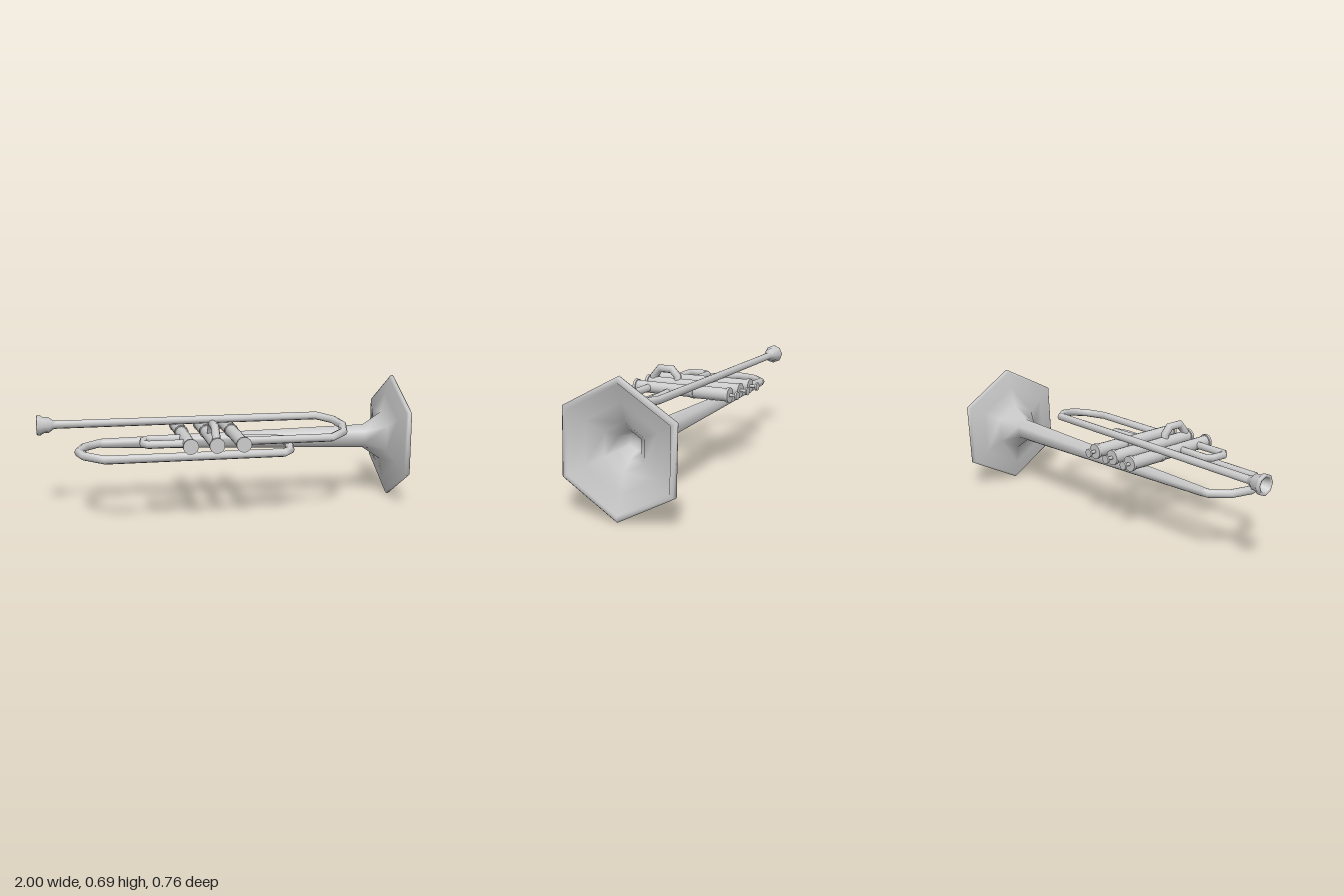
import * as THREE from 'three';

const metal = new THREE.MeshStandardMaterial({ color: 0xcccccc });

function add(parent, name, geometry) {
  const mesh = new THREE.Mesh(geometry, metal);
  mesh.name = name;
  parent.add(mesh);
  return mesh;
}

// Mitred round tube along a polyline; up is any axis the path never follows
function pipe(points, radius, up = new THREE.Vector3(0, 1, 0), sides = 8) {
  const p = points.map((q) => new THREE.Vector3(...q));
  const positions = [], index = [];
  p.forEach((point, i) => {
    const before = p[i].clone().sub(p[Math.max(i - 1, 0)]).normalize();
    const after = p[Math.min(i + 1, p.length - 1)].clone().sub(p[i]).normalize();
    const t = before.clone().add(after).normalize();
    const miter = 1 / Math.max(t.dot(i ? before : after), 0.7);
    const side = t.clone().cross(up).normalize();
    const top = side.clone().cross(t);
    for (let k = 0; k < sides; k++) {
      const a = (k / sides) * Math.PI * 2;
      const v = point.clone()
        .addScaledVector(side, Math.cos(a) * radius * miter)
        .addScaledVector(top, Math.sin(a) * radius);
      positions.push(v.x, v.y, v.z);
      if (i === 0) continue;
      const b = i * sides + k, c = i * sides + ((k + 1) % sides);
      index.push(b - sides, b, c - sides, b, c, c - sides);
    }
  });
  const g = new THREE.BufferGeometry();
  g.setAttribute('position', new THREE.Float32BufferAttribute(positions, 3));
  g.setIndex(index);
  g.computeVertexNormals();
  return g;
}

// Turned part from [radius, distance] pairs
function turned(profile, sides, phase = 0) {
  return new THREE.LatheGeometry(profile.map(([r, d]) => new THREE.Vector2(r, d)), sides, phase);
}

export function createModel() {
  const model = new THREE.Group();
  model.name = 'trumpet';

  // Six-sided bell: long taper, flare, rolled rim, then back inside to the throat
  const bell = add(model, 'bell', turned([
    [0.026, -1.66], [0.066, -0.18], [0.135, -0.075], [0.24, -0.05], [0.33, -0.032],
    [0.344, -0.022], [0.344, -0.01], [0.335, -0.002], [0.315, 0],
    [0.31, -0.008], [0.22, -0.035], [0.12, -0.068], [0.07, -0.12], [0.048, -0.19], [0, -0.19],
  ], 6, Math.PI / 2 - 0.035).rotateZ(-Math.PI / 2 - 0.01));
  bell.position.set(1, 0.347, -0.078);

  // Lead pipe and front tuning bow, returning to the third valve
  add(model, 'leadPipe', pipe([
    [-0.94, 0.485, -0.035], [0.53, 0.485, -0.035], [0.605, 0.475, 0.045], [0.632, 0.46, 0.13],
    [0.61, 0.443, 0.22], [0.525, 0.43, 0.29], [0.04, 0.43, 0.29],
  ], 0.022));

  // Rear bow, running forward to a small bow that enters the third valve
  add(model, 'bellBow', pipe([
    [-0.62, 0.364, -0.08], [-0.68, 0.364, -0.075], [-0.755, 0.364, 0.0], [-0.786, 0.364, 0.11],
    [-0.76, 0.363, 0.2], [-0.66, 0.36, 0.29], [0.27, 0.36, 0.292], [0.305, 0.369, 0.27],
    [0.315, 0.39, 0.205], [0.285, 0.405, 0.168], [0.04, 0.415, 0.165],
  ], 0.023));

  // First valve slide
  add(model, 'firstSlide', pipe([
    [-0.235, 0.43, 0.165], [-0.43, 0.43, 0.165], [-0.455, 0.43, 0.19],
    [-0.462, 0.43, 0.265], [-0.44, 0.43, 0.29], [-0.235, 0.43, 0.29],
  ], 0.021));

  // Second valve slide, arching over the valve
  add(model, 'secondSlide', pipe([
    [-0.1, 0.43, 0.19], [-0.1, 0.475, 0.19], [-0.1, 0.512, 0.225],
    [-0.1, 0.512, 0.302], [-0.1, 0.465, 0.342], [-0.1, 0.43, 0.342],
  ], 0.022, new THREE.Vector3(1, 0, 0)));

  // Mouthpiece with a hollow cup
  const mouthpiece = add(model, 'mouthpiece', turned([
    [0.022, 0], [0.025, 0.015], [0.042, 0.035], [0.044, 0.065], [0.055, 0.08],
    [0.055, 0.095], [0.048, 0.1], [0.038, 0.095], [0.028, 0.06], [0, 0.045],
  ], 8).rotateZ(Math.PI / 2));
  mouthpiece.position.set(-0.9, 0.485, -0.035);

  // Three identical valves with caps, stems and finger buttons
  const valveParts = [
    ['bottomCap', 0.04, 0.365, 0.38],
    ['casing', 0.033, 0.02, 0.37],
    ['collar', 0.038, 0.01, 0.03],
    ['upperCasing', 0.036, -0.185, 0.02],
    ['topCap', 0.041, -0.198, -0.182],
    ['stem', 0.009, -0.235, -0.19],
    ['fingerButton', 0.023, -0.243, -0.233],
  ];
  for (const x of [-0.235, -0.1, 0.038]) {
    const valve = new THREE.Group();
    valve.name = 'valve';
    valve.position.set(x, 0.43, 0);
    for (const [name, r, z0, z1] of valveParts) {
      const g = new THREE.CylinderGeometry(r, r, z1 - z0, 14).rotateX(Math.PI / 2);
      add(valve, name, g).position.z = (z0 + z1) / 2;
    }
    model.add(valve);
  }

  return model;
}
